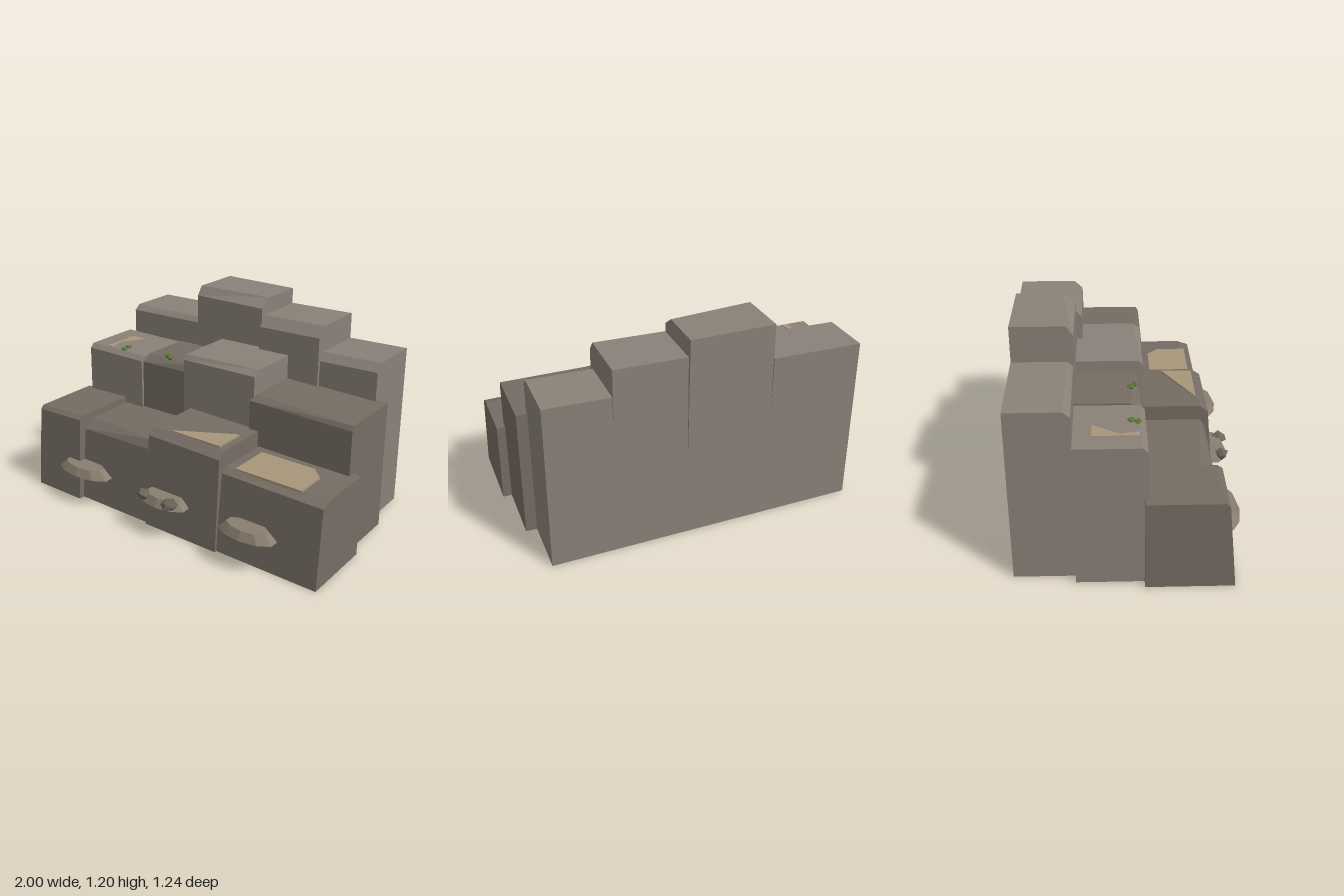
import * as THREE from 'three';

const mat = (color) => new THREE.MeshStandardMaterial({ color, flatShading: true, roughness: 0.95 });
const light = mat(0x8a8178), dark = mat(0x756c63), sand = mat(0xa6967a);
const ledgeMat = mat(0x8a7f70), pebbleMat = mat(0x6b645c), green = mat(0x55752c);

// Rock block: a leaning, chamfered side profile joined from its left to its right end
function blockGeometry(back, lean, [x0, x1, h0, h1, front, rim0, rim1, drop]) {
  const taper = 0.007;
  const section = (x, xTop, h, rim) => [
    [x, 0, back], [x, 0, front], [xTop, h - drop, front - lean], [xTop, h, rim], [xTop, h, back],
  ];
  const L = section(x0, x0 + taper, h0, rim0), R = section(x1, x1 - taper, h1, rim1), pos = [];
  const tri = (...pts) => pts.forEach((p) => pos.push(...p));
  for (let i = 0; i < 5; i++) {
    const j = (i + 1) % 5;
    tri(L[i], R[i], R[j]);
    tri(L[i], R[j], L[j]);
  }
  for (let i = 1; i < 4; i++) {
    tri(L[0], L[i], L[i + 1]);
    tri(R[0], R[i + 1], R[i]);
  }
  const g = new THREE.BufferGeometry();
  g.setAttribute('position', new THREE.Float32BufferAttribute(pos, 3));
  g.computeVertexNormals();
  return g;
}

// Thin patch lying on a ledge, outline given as [x, z]
function patchGeometry(points, y) {
  const shape = new THREE.Shape(points.map(([x, z]) => new THREE.Vector2(x, -z)));
  return new THREE.ExtrudeGeometry(shape, { depth: 0.012, bevelEnabled: false })
    .rotateX(-Math.PI / 2).translate(0, y, 0);
}

// Irregular lump: an icosahedron with its corners pushed by a position rule
function lumpGeometry(rx, ry, rz, seed) {
  const g = new THREE.IcosahedronGeometry(1, 0), p = g.attributes.position;
  for (let i = 0; i < p.count; i++) {
    const x = p.getX(i), y = p.getY(i), z = p.getZ(i);
    const s = 0.92 + 0.12 * Math.sin(seed + 5 * x + 3 * y + 7 * z);
    p.setXYZ(i, x * s * rx, y * s * ry, z * s * rz);
  }
  g.computeVertexNormals();
  return g;
}

export function createModel() {
  const model = new THREE.Group();
  const add = (parent, name, geometry, material, x = 0, y = 0, z = 0) => {
    const mesh = new THREE.Mesh(geometry, material);
    mesh.name = name;
    mesh.position.set(x, y, z);
    parent.add(mesh);
  };
  const group = (name) => {
    const g = new THREE.Group();
    g.name = name;
    model.add(g);
    return g;
  };

  // Stepped tiers; each block: x from, x to, height left and right, front z,
  // top rim z left and right, chamfer drop
  const addTier = (name, back, lean, materials, blocks) => {
    const tier = group(name);
    blocks.forEach((b, i) => add(tier, 'rockBlock', blockGeometry(back, lean, b), materials[i]));
  };
  addTier('frontTier', 0.065, 0.05, [dark, dark, dark, dark], [
    [-1, -0.65, 0.515, 0.525, 0.535, 0.465, 0.455, 0.02],
    [-0.655, -0.13, 0.49, 0.5, 0.5, 0.37, 0.42, 0.05],
    [-0.135, 0.37, 0.585, 0.575, 0.515, 0.415, 0.41, 0.035],
    [0.365, 1, 0.485, 0.477, 0.5, 0.41, 0.38, 0.025],
  ]);
  addTier('middleTier', -0.295, 0.018, [light, dark, light, dark], [
    [-0.953, -0.51, 0.815, 0.815, 0.095, 0.05, 0.05, 0.025],
    [-0.52, -0.17, 0.822, 0.83, 0.082, 0, 0.04, 0.037],
    [-0.185, 0.325, 0.905, 0.912, 0.1, 0.06, 0.04, 0.03],
    [0.295, 0.95, 0.772, 0.76, 0.118, 0.06, 0.085, 0.028],
  ]);
  addTier('backTier', -0.625, 0.012, [light, light, light, light], [
    [-0.9, -0.365, 0.99, 1, -0.285, -0.335, -0.325, 0.03],
    [-0.373, 0.115, 1.2, 1.197, -0.28, -0.33, -0.365, 0.053],
    [0.11, 0.525, 1.105, 1.113, -0.247, -0.31, -0.31, 0.06],
    [0.515, 0.888, 0.962, 0.972, -0.26, -0.31, -0.315, 0.045],
  ]);

  // Sandy patches on the ledges
  const patches = group('sandPatches');
  add(patches, 'upperSandPatch', patchGeometry(
    [[-0.83, -0.2], [-0.72, -0.2], [-0.81, -0.06], [-0.79, 0.04], [-0.83, 0.04]], 0.807), sand);
  add(patches, 'centreSandPatch', patchGeometry([[-0.02, 0.405], [0.32, 0.22], [0.32, 0.405]], 0.576), sand);
  add(patches, 'lowerSandPatch', patchGeometry(
    [[0.43, 0.16], [0.77, 0.16], [0.84, 0.23], [0.84, 0.41], [0.43, 0.41]], 0.478), sand);

  // Half-sunk stone footholds along the front
  const footholds = group('footholds');
  for (const [x, rx] of [[-0.6, 0.2], [0.02, 0.165], [0.585, 0.18]]) {
    add(footholds, 'foothold', new THREE.CylinderGeometry(0.72, 1, 0.05, 10)
      .scale(rx, 1, 0.085), ledgeMat, x, 0.222, 0.518);
  }

  // Loose pebbles on the middle foothold
  const pebbles = group('pebbles');
  add(pebbles, 'smallPebble', lumpGeometry(0.047, 0.035, 0.045, 1), pebbleMat, -0.09, 0.232, 0.565);
  add(pebbles, 'largePebble', lumpGeometry(0.062, 0.038, 0.055, 4), pebbleMat, 0.1, 0.232, 0.57);

  // Small tufts of moss
  const moss = group('moss');
  for (const [x, y, z, r] of [[-0.69, 0.828, 0, 0.026], [-0.695, 0.822, 0.035, 0.026],
    [-0.36, 0.842, 0.01, 0.03], [-0.325, 0.84, 0.035, 0.02]]) {
    add(moss, 'mossTuft', lumpGeometry(r, 0.013, r * 0.85, x * 20), green, x, y, z);
  }
  return model;
}
